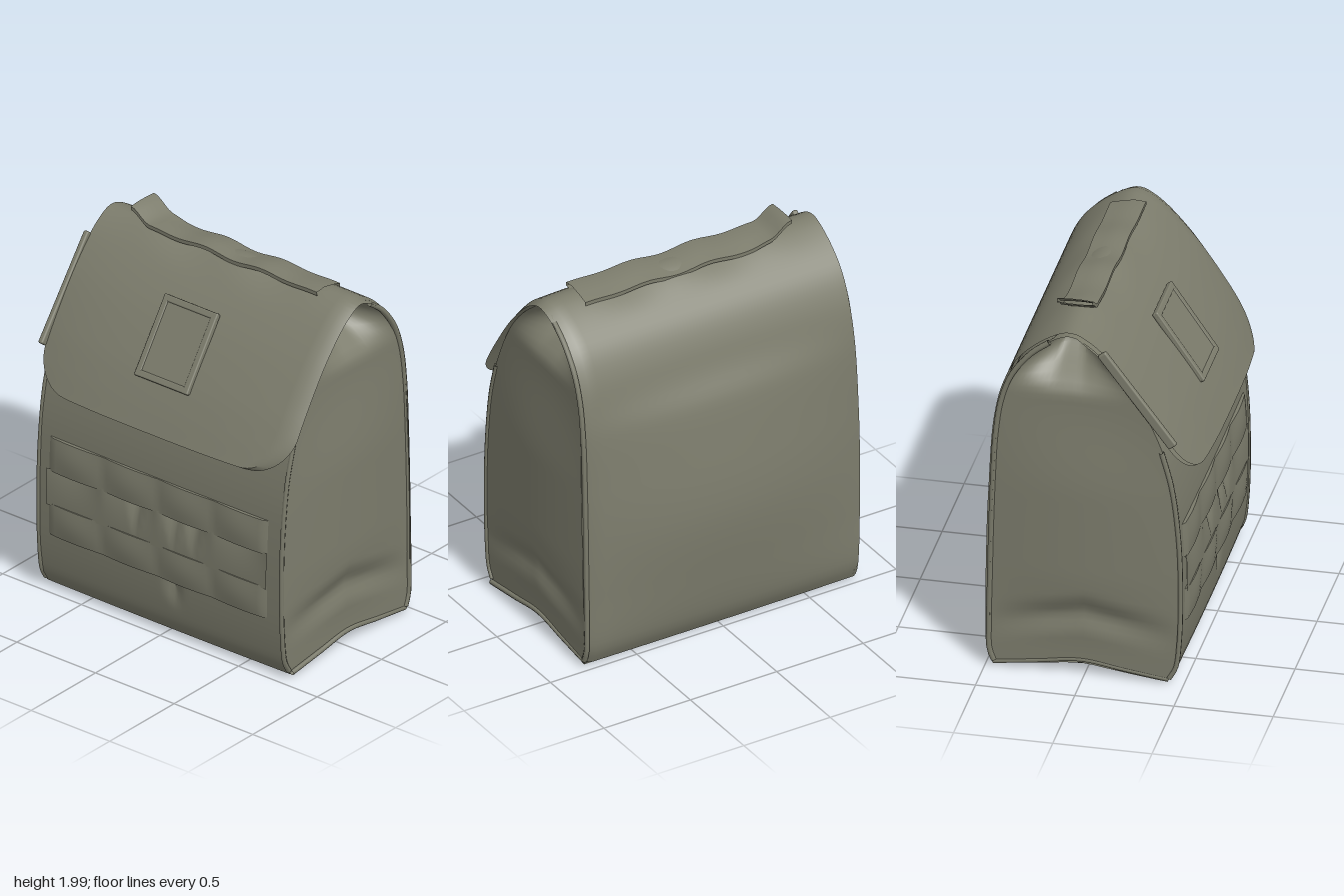
import * as THREE from 'three';
import { toCreasedNormals, mergeVertices } from 'three/addons/utils/BufferGeometryUtils.js';
import { RoundedBoxGeometry } from 'three/addons/geometries/RoundedBoxGeometry.js';

const canvas = new THREE.MeshStandardMaterial({ color: 0x7c7c6c, side: THREE.DoubleSide });
canvas.name = 'olive canvas';

const smooth = THREE.MathUtils.smoothstep;
// Smooth lookup of a value by height from [y, value] pairs
function profile(pairs) {
  return (y) => {
    const n = pairs.length;
    if (y <= pairs[0][0]) return pairs[0][1];
    if (y >= pairs[n - 1][0]) return pairs[n - 1][1];
    let i = 0;
    while (pairs[i + 1][0] < y) i++;
    const slope = (k) => {
      const a = pairs[Math.max(k - 1, 0)], b = pairs[Math.min(k + 1, n - 1)];
      return (b[1] - a[1]) / (b[0] - a[0]);
    };
    const [y0, z0] = pairs[i], [y1, z1] = pairs[i + 1];
    const h = y1 - y0, t = (y - y0) / h;
    return z0 * (1 + 2 * t) * (1 - t) ** 2 + slope(i) * h * t * (1 - t) ** 2
      + z1 * t * t * (3 - 2 * t) + slope(i + 1) * h * t * t * (t - 1);
  };
}
const frontZ = profile([[0.02, 0.42], [0.1, 0.465], [0.4, 0.49], [0.9, 0.475], [1.2, 0.425], [1.4, 0.355], [1.6, 0.25], [1.75, 0.125], [1.88, -0.03]]);
const backZ = profile([[0.02, -0.46], [0.1, -0.49], [0.4, -0.49], [1, -0.475], [1.4, -0.45], [1.6, -0.4], [1.75, -0.31], [1.88, -0.15]]);
const backBulge = profile([[0.02, 0.005], [0.4, 0.06], [0.75, 0.09], [1.2, 0.06], [1.6, 0.012], [1.8, 0]]);
// The front panel sits slightly towards the right
const frontX = (s) => 0.772 * s - 0.01;

// Grid surface from f(u, v) -> [x, y, z]
function surface(name, nu, nv, f) {
  const pos = [], idx = [];
  for (let j = 0; j <= nv; j++) for (let i = 0; i <= nu; i++) pos.push(...f(i / nu, j / nv));
  for (let j = 0; j < nv; j++) for (let i = 0; i < nu; i++) {
    const a = j * (nu + 1) + i, b = a + nu + 1;
    idx.push(a, a + 1, b, a + 1, b + 1, b);
  }
  const g = new THREE.BufferGeometry();
  g.setAttribute('position', new THREE.Float32BufferAttribute(pos, 3));
  g.setIndex(idx);
  return mesh(name, toCreasedNormals(mergeVertices(g), 0.7));
}
function mesh(name, geometry) {
  const m = new THREE.Mesh(geometry, canvas);
  m.name = name;
  return m;
}
function piping(name, points, radius) {
  const curve = new THREE.CatmullRomCurve3(points.map((p) => new THREE.Vector3(...p)));
  return mesh(name, new THREE.TubeGeometry(curve, 50, radius, 6));
}

export function createModel() {
  const bag = new THREE.Group();
  bag.name = 'lunchBag';

  // Front panel, sunk behind the webbing and pinched below it
  bag.add(surface('frontPanel', 56, 60, (u, v) => {
    const y = 0.02 + 1.86 * v, s = 2 * u - 1;
    const pinch = 0.03 * Math.max(0, 1 - Math.abs(s - 0.11) / 0.08) * smooth(y, 0.18, 0.32) * (1 - smooth(y, 0.34, 0.42));
    const sunk = Math.abs(s) < 0.85 ? 0.04 * smooth(y, 0.52, 0.6) * (1 - smooth(y, 0.72, 0.8)) : 0;
    return [frontX(s), y, frontZ(y) + 0.006 * (1 - s * s) - pinch - sunk];
  }));

  // Base, its side edges lifted in a shallow arch
  bag.add(surface('base', 28, 14, (u, v) => {
    const s = 2 * u - 1, t = 2 * v - 1;
    const y = 0.02 - 0.012 * (1 - t * t) + 0.07 * Math.abs(s) ** 10 * (1 - Math.abs(t));
    return [s * 0.775 - 0.005 * (1 + t), y, -0.02 + t * 0.44];
  }));

  // Side gussets, bulging low down and tucked inwards under the ridge
  for (const side of [-1, 1]) {
    const name = side > 0 ? 'left' : 'right';
    const frontEdge = Math.abs(frontX(side));
    bag.add(surface(name + 'Gusset', 24, 56, (u, v) => {
      const mid = 1 - Math.abs(2 * u - 1);
      const y0 = 0.02 + 0.07 * mid, y = y0 + (1.88 - y0) * v;
      const arch = Math.sin(Math.PI * u);
      const bulge = 0.035 * arch * smooth(y, 0.1, 0.6) * (1 - smooth(y, 1, 1.55));
      const tuck = 0.24 * Math.min(1, 1.3 * mid) * smooth(y, 1.56, 1.8);
      const dent = 0.035 * Math.max(0, 1 - Math.abs(y - 0.26 - 0.1 * mid) / 0.1) * arch;
      const x = frontEdge + (0.78 - frontEdge) * u + bulge - tuck - dent;
      return [side * x, y, frontZ(y) + (backZ(y) - frontZ(y)) * u];
    }));
    // Bound seams along the gusset
    const heights = [0.04, 0.1, 0.25, 0.5, 0.8, 1.1, 1.3];
    bag.add(piping(name + 'FrontSeam', heights.map((y) => [side * frontEdge, y, frontZ(y) - 0.005]), 0.013));
    bag.add(piping(name + 'BackSeam', [...heights, 1.5, 1.65, 1.78, 1.85].map((y) => [side * 0.778, y, backZ(y) + 0.012]), 0.015));
    bag.add(piping(name + 'BaseSeam', [-1, -0.5, 0, 0.5, 1].map((t) => [side * 0.773, 0.03 + 0.06 * (1 - Math.abs(t)), -0.02 + 0.44 * t]), 0.013));
  }

  // One thick sheet running up the back, over the ridge and down as the flap
  const spine = new THREE.CatmullRomCurve3([
    [0.02, -0.46], [0.1, -0.49], [0.4, -0.495], [0.7, -0.49], [1, -0.48], [1.4, -0.455], [1.6, -0.41], [1.75, -0.33],
    [1.87, -0.19], [1.915, -0.07], [1.87, 0.04], [1.7, 0.225], [1.45, 0.415], [1.3, 0.505], [1.165, 0.575],
  ].map(([y, z]) => new THREE.Vector3(0, y, z)), false, 'centripetal');
  const length = spine.getLength(), radius = 0.22;
  bag.add(surface('backAndFlap', 58, 110, (u, v) => {
    const k = 1 - (1 - v) ** 1.5;
    const p = spine.getPointAt(k), t = spine.getTangentAt(k);
    const left = (1 - k) * length;
    const flap = smooth(k, 0.55, 0.7);
    // Rounded corners at the lip
    const cut = left < radius ? radius - Math.sqrt(radius ** 2 - (radius - left) ** 2) : 0;
    const half = 0.782 + 0.01 * flap + 0.016 * Math.sin(Math.PI * Math.min(k / 0.5, 1)) - cut;
    // Across the outer face, then back across the inner face
    const outer = u < 0.5;
    const s = outer ? 4 * u - 1 : 3 - 4 * u;
    const depth = outer || k === 1 ? 0 : 0.022;
    const x = half * s + 0.012 * flap;
    const bow = 1 - s * s;
    const back = backBulge(p.y) * bow * (1 - smooth(k, 0.42, 0.5));
    const wave = 0.01 * Math.sin(9 * s + 1) * bow * smooth(p.y, 1.8, 1.92);
    const droop = 0.045 * Math.abs(x / 0.79) ** 3 * smooth(k, 0.6, 0.95);
    return [x, p.y + wave - t.z * depth, p.z + t.y * depth - back - droop];
  }));

  // Binding on the right edge of the flap
  const binding = mesh('flapBinding', new RoundedBoxGeometry(0.03, 0.6, 0.05, 2, 0.01));
  binding.position.set(-0.79, 1.585, 0.27);
  binding.rotation.x = -0.645;
  bag.add(binding);

  // Two webbing bands bowing out from the front
  for (const [name, y0, y1] of [['lowerBand', 0.335, 0.51], ['upperBand', 0.69, 0.872]]) {
    bag.add(surface(name, 48, 9, (u, v) => {
      const row = THREE.MathUtils.clamp((v * 9 - 1) / 7, 0, 1);
      const y = y0 + (y1 - y0) * row;
      const rim = v === 0 || v === 1 || u === 0 || u === 1;
      const lift = 0.012 + 0.018 * Math.abs(Math.sin(4 * Math.PI * u)) * (0.5 + 0.5 * Math.sin(Math.PI * row));
      return [-0.72 + 1.4 * u, y, frontZ(y) + (rim ? -0.003 : lift)];
    }));
  }

  // Cloth between the bands, leaning in at the top with pinched creases
  bag.add(surface('bandBacking', 70, 10, (u, v) => {
    const x = -0.72 + 1.4 * u, y = 0.5 + 0.2 * v;
    let z = frontZ(y) + 0.015 - 0.022 * v * v * Math.abs(Math.sin(4 * Math.PI * u));
    for (const c of [-0.16, 0.08, 0.21]) z -= 0.025 * v * Math.max(0, 1 - Math.abs(x - c) / (0.06 * v + 0.01));
    return [x, y, z];
  }));

  // Plain patch with a low frame on the flap
  const patch = new THREE.Group();
  patch.name = 'flapPatch';
  patch.position.set(-0.018, 1.562, 0.34);
  patch.rotation.x = -0.6;
  patch.add(mesh('patchPlate', new RoundedBoxGeometry(0.34, 0.43, 0.03, 2, 0.012)));
  for (const s of [-1, 1]) {
    const rail = mesh('patchRail', new RoundedBoxGeometry(0.035, 0.43, 0.02, 2, 0.008));
    rail.position.set(s * 0.152, 0, 0.01);
    const bar = mesh('patchBar', new RoundedBoxGeometry(0.34, 0.035, 0.02, 2, 0.008));
    bar.position.set(0, s * 0.197, 0.01);
    patch.add(rail, bar);
  }
  bag.add(patch);

  // Carry strap lying along the ridge, with its right end turned up
  bag.add(surface('carryStrap', 50, 8, (u, v) => {
    const x = -0.595 + 1.19 * u;
    const ring = [[-0.18, 0], [-0.18, 0.02], [-0.12, 0.024], [-0.06, 0.024], [0, 0.02], [0, 0], [-0.06, -0.004], [-0.12, -0.004], [-0.18, 0]];
    const [z, h] = ring[Math.round(v * 8)];
    const y = 1.908 + 0.068 * (1 - smooth(u, 0, 0.1)) + 0.01 * Math.sin(20 * u) * Math.sin(Math.PI * u);
    return [x, y + h - 0.2 * Math.max(0, -0.06 - z) * smooth(u, 0.05, 0.2), z + 0.008 * u];
  }));
  return bag;
}
